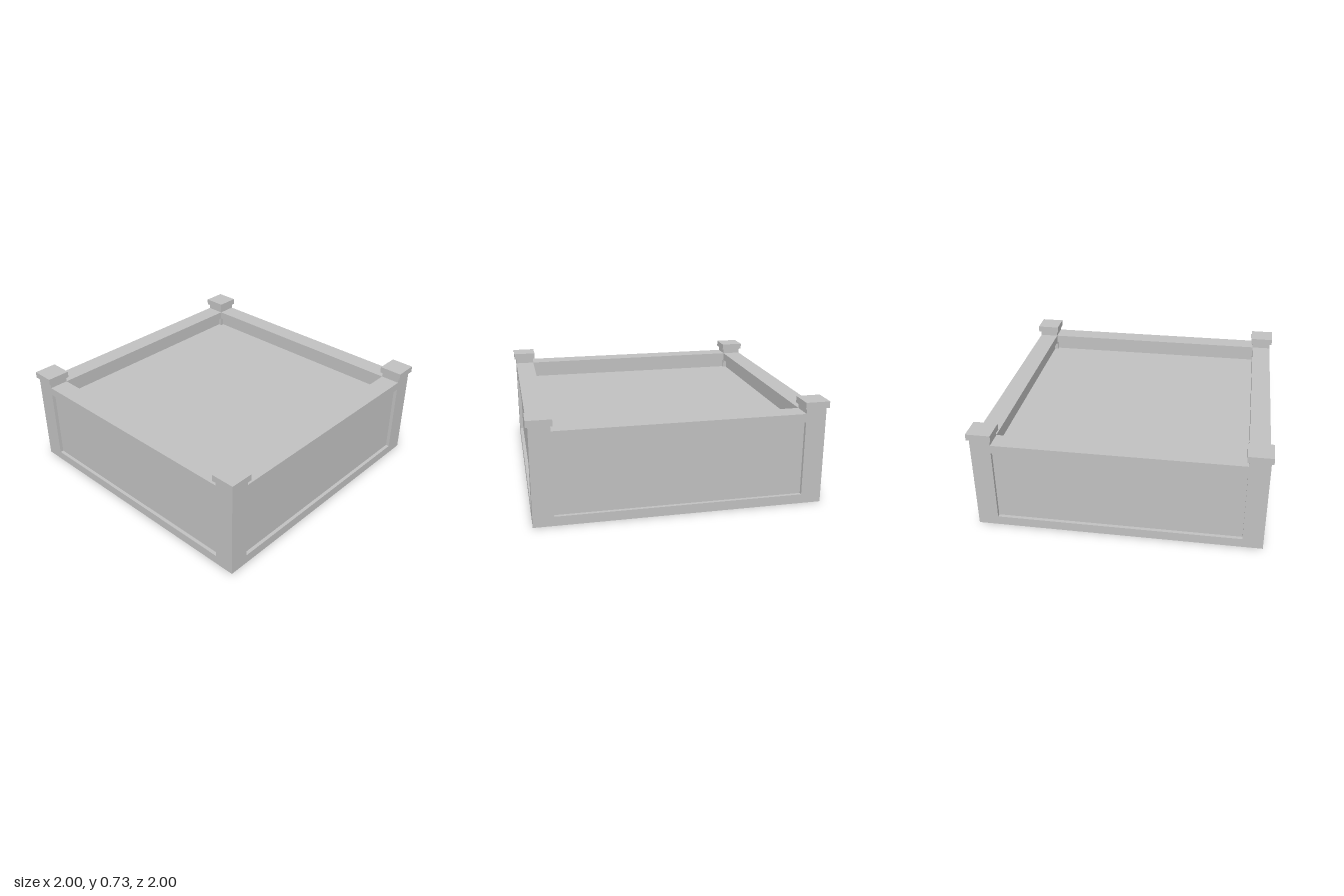
import * as THREE from 'three';

const grey = new THREE.MeshStandardMaterial({ color: 0xc0c0c0 });
grey.name = 'plain grey';

// Box given by its lower and upper corners
function block(name, [x0, y0, z0], [x1, y1, z1]) {
  const geometry = new THREE.BoxGeometry(x1 - x0, y1 - y0, z1 - z0);
  geometry.translate((x0 + x1) / 2, (y0 + y1) / 2, (z0 + z1) / 2);
  const mesh = new THREE.Mesh(geometry, grey);
  mesh.name = name;
  return mesh;
}

export function createModel() {
  const planter = new THREE.Group();
  planter.name = 'planterBox';

  const outer = 0.985, inner = 0.845; // post and rail faces
  const panelOuter = 0.96, panelInner = 0.87;

  // Base plate and the raised flat filling
  planter.add(block('basePlate', [-outer, 0, -outer], [outer, 0.005, outer]));
  planter.add(block('filling', [-panelInner, 0.005, -panelInner], [panelInner, 0.52, panelInner]));

  // Four equal quarters: one side with its rails and panel, plus one corner post
  for (let i = 0; i < 4; i++) {
    const side = new THREE.Group();
    side.name = ['front', 'left', 'back', 'right'][i] + 'Side';
    side.add(block('bottomRail', [-inner, 0.005, inner], [inner, 0.065, outer]));
    side.add(block('topRail', [-inner, 0.585, inner], [inner, 0.645, outer]));
    side.add(block('recessedPanel', [-inner, 0.065, panelInner], [inner, 0.585, panelOuter]));
    side.add(block('cornerPost', [inner, 0.005, inner], [outer, 0.682, outer]));
    side.add(block('postCap', [0.832, 0.682, 0.832], [1, 0.727, 1]));
    side.rotation.y = (i * Math.PI) / 2;
    planter.add(side);
  }
  return planter;
}
